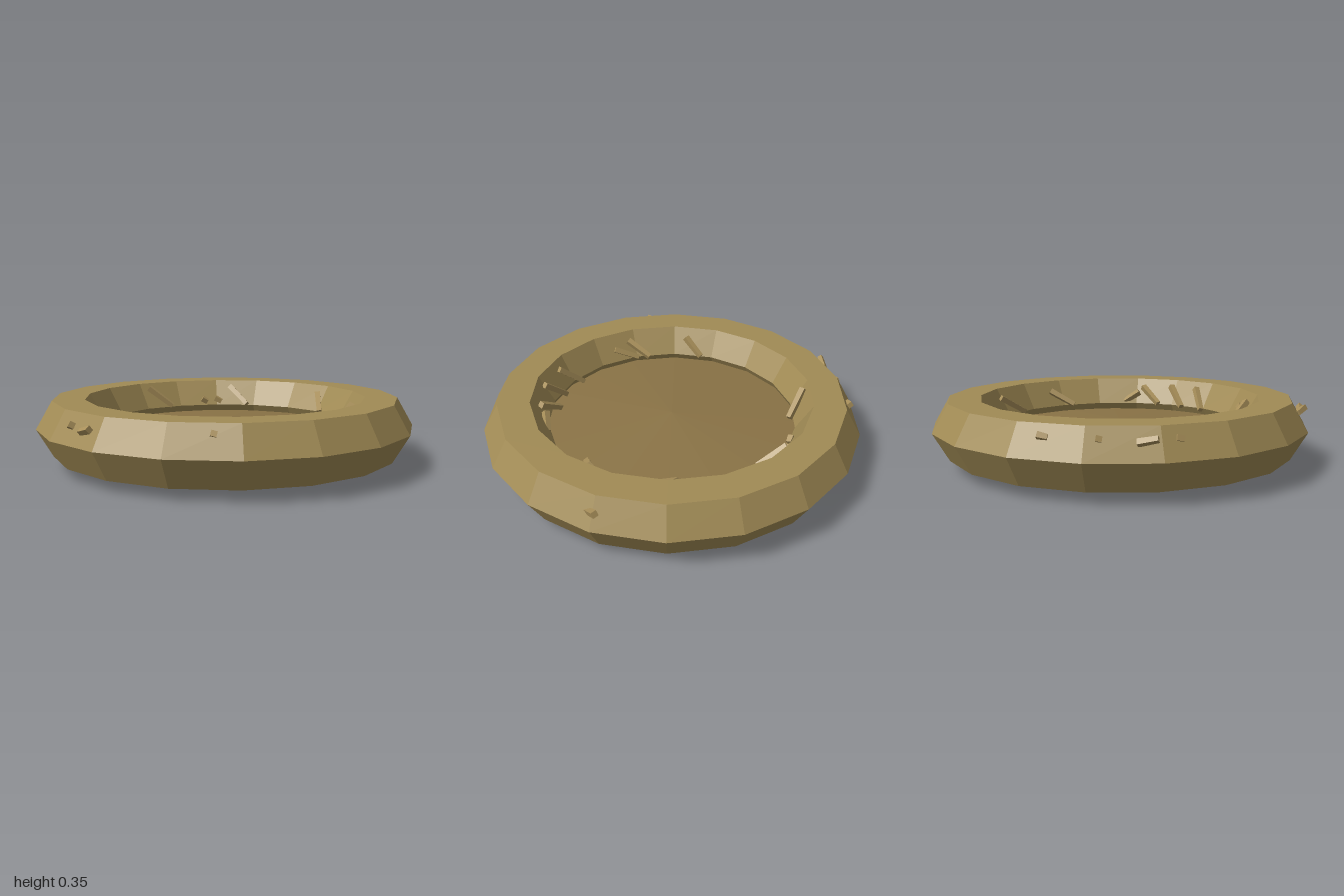
import * as THREE from 'three';

const material = (color) => new THREE.MeshStandardMaterial({ color, flatShading: true });

// Four-sided tapered twig between two points
function twig(group, name, mat, [x1, y1, z1], [x2, y2, z2], r = 0.022) {
  const a = new THREE.Vector3(x1, y1, z1), b = new THREE.Vector3(x2, y2, z2);
  const dir = b.clone().sub(a);
  const mesh = new THREE.Mesh(new THREE.CylinderGeometry(r, r * 0.85, dir.length(), 4), mat);
  mesh.position.copy(a).add(b).multiplyScalar(0.5);
  mesh.quaternion.setFromUnitVectors(new THREE.Vector3(0, 1, 0), dir.normalize());
  mesh.name = name;
  group.add(mesh);
}

export function createModel() {
  const nest = new THREE.Group();
  nest.name = 'nest';

  // Chunky six-sided ring
  const rim = new THREE.Mesh(new THREE.TorusGeometry(0.832, 0.168, 6, 18).rotateX(Math.PI / 2), material(0xa18b55));
  rim.position.y = 0.2;
  rim.name = 'rim';
  nest.add(rim);

  // Lens-shaped floor, shallow cones above and below, its edge sunk into the ring
  const profile = [[0, 0], [0.83, 0.058], [0.83, 0.152], [0, 0.21]].map(([x, y]) => new THREE.Vector2(x, y));
  const floor = new THREE.Mesh(new THREE.LatheGeometry(profile, 16), material(0x8a7346));
  floor.name = 'floor';
  nest.add(floor);

  const twigMat = material(0xa88f5a);
  const twigs = new THREE.Group();
  twigs.name = 'twigs';
  nest.add(twigs);

  // Twigs leaning on the inner wall: lower end, upper end
  [
    [[0.04, 0.21, -0.63], [-0.08, 0.32, -0.71]],
    [[0.46, 0.21, -0.43], [0.43, 0.31, -0.57]],
    [[0.28, 0.22, -0.605], [0.25, 0.24, -0.62]],
    [[0.36, 0.22, -0.565], [0.33, 0.24, -0.59]],
    [[-0.62, 0.21, -0.16], [-0.69, 0.3, -0.07]],
    [[-0.59, 0.22, 0.15], [-0.64, 0.3, 0.28]],
    [[-0.62, 0.2, 0.22], [-0.59, 0.265, 0.36]],
    [[0.61, 0.21, 0.08], [0.7, 0.3, -0.04]],
    [[0.44, 0.21, 0.41], [0.58, 0.29, 0.375]],
    [[-0.33, 0.2, 0.52], [-0.27, 0.31, 0.645]],
    [[-0.19, 0.2, 0.6], [-0.1, 0.31, 0.7]],
    [[-0.04, 0.21, 0.61], [0.08, 0.3, 0.69]],
    [[0.19, 0.21, 0.645], [0.1, 0.27, 0.665]],
  ].forEach(([a, b]) => twig(twigs, 'innerTwig', twigMat, a, b));

  // Twig ends poking out of the outer wall
  [
    [[-0.935, 0.28, 0.1], [-0.96, 0.3, 0.18]],
    [[-0.935, 0.27, 0.21], [-0.925, 0.29, 0.29]],
    [[0.87, 0.265, 0.355], [0.94, 0.305, 0.31]],
    [[-0.55, 0.28, 0.71], [-0.565, 0.305, 0.74]],
    [[0, 0.29, -0.935], [0.045, 0.3, -0.945]],
    [[-0.235, 0.29, -0.905], [-0.21, 0.295, -0.915]],
    [[-0.47, 0.3, -0.86], [-0.38, 0.28, -0.87]],
    [[-0.555, 0.29, -0.765], [-0.525, 0.295, -0.78]],
  ].forEach(([a, b]) => twig(twigs, 'outerTwig', twigMat, a, b, 0.02));

  return nest;
}
